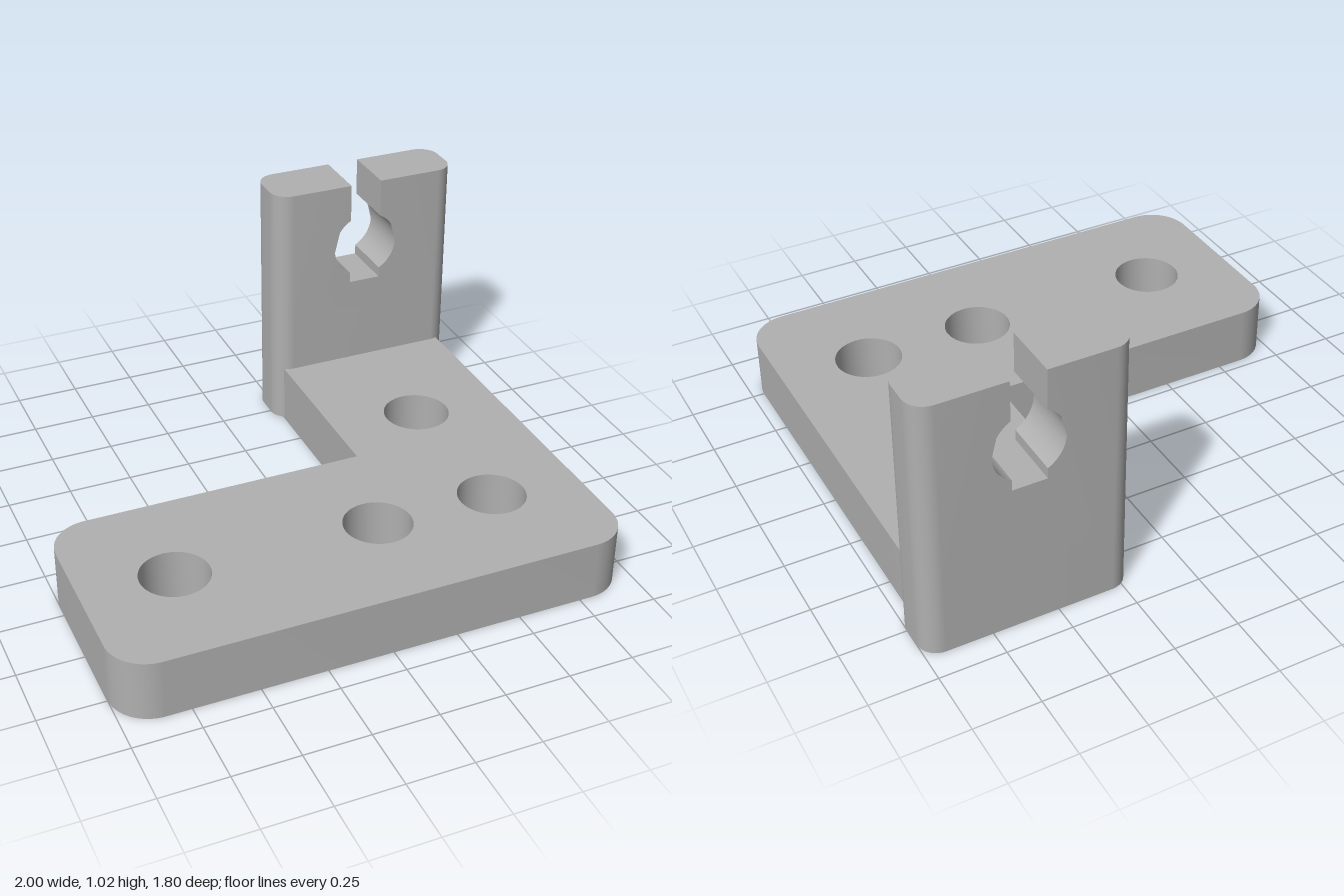
import * as THREE from 'three';
import { toCreasedNormals } from 'three/addons/utils/BufferGeometryUtils.js';

const grey = new THREE.MeshStandardMaterial({ color: 0xb0b0b0 });
grey.name = 'plainGrey';

function part(name, geometry) {
  const mesh = new THREE.Mesh(toCreasedNormals(geometry, 0.5), grey);
  mesh.name = name;
  return mesh;
}

// L-shaped plate with rounded outer corners and bolt holes (shape y is -z)
function basePlate() {
  const r = 0.155, left = -1, right = 0.955, front = -0.9, inner = -0.04;
  const s = new THREE.Shape();
  s.moveTo(left + r, front);
  s.lineTo(right - r, front);
  s.absarc(right - r, front + r, r, -Math.PI / 2, 0, false);
  s.lineTo(right, 0.69);
  s.lineTo(0.25, 0.69);
  s.lineTo(0.25, inner);
  s.lineTo(left + r, inner);
  s.absarc(left + r, inner - r, r, Math.PI / 2, Math.PI, false);
  s.absarc(left + r, front + r, r, Math.PI, Math.PI * 1.5, false);
  for (const [x, z] of [[-0.65, 0.47], [0.135, 0.47], [0.605, 0.47], [0.605, -0.16]]) {
    s.holes.push(new THREE.Path().absarc(x, -z, 0.13, 0, Math.PI * 2, true));
  }
  const g = new THREE.ExtrudeGeometry(s, { depth: 0.235, bevelEnabled: false, curveSegments: 32 });
  return g.rotateX(-Math.PI / 2);
}

// Upright with an open keyhole slot; its vertical edges are rounded in plan
function uprightBlock() {
  const x0 = 0.215, x1 = 1, top = 1.022, back = -0.9, front = -0.67;
  const cx = 0.605, cy = 0.75, r = 0.135, half = 0.065, a = Math.acos(half / r);
  const s = new THREE.Shape();
  s.moveTo(x0, 0);
  s.lineTo(x1, 0);
  s.lineTo(x1, top);
  s.lineTo(cx + half, top);
  s.absarc(cx, cy, r, a, -a, true);
  s.lineTo(cx + half, 0.59);
  s.lineTo(cx - half, 0.59);
  s.absarc(cx, cy, r, Math.PI + a, Math.PI - a, true);
  s.lineTo(cx - half, top);
  s.lineTo(x0, top);
  s.closePath();

  // One step per arc segment, then draw the outer sides in along a quarter circle
  const n = 10, steps = 2 * n + 1, edge = 0.075;
  const g = new THREE.ExtrudeGeometry(s, { depth: steps, steps, bevelEnabled: false, curveSegments: 24 });
  const p = g.attributes.position;
  for (let k = 0; k < p.count; k++) {
    const i = Math.round(p.getZ(k)), x = p.getX(k);
    const angle = (Math.min(i, steps - i) / n) * Math.PI / 2;
    const inset = edge * (1 - Math.sin(angle)), dz = edge * (1 - Math.cos(angle));
    p.setZ(k, i <= n ? back + dz : front - dz);
    if (x < x0 + 0.001) p.setX(k, x0 + inset);
    if (x > x1 - 0.001) p.setX(k, x1 - inset);
  }
  return g;
}

export function createModel() {
  const model = new THREE.Group();
  model.name = 'mountingBracket';
  model.add(part('basePlate', basePlate()), part('slottedUpright', uprightBlock()));
  return model;
}
